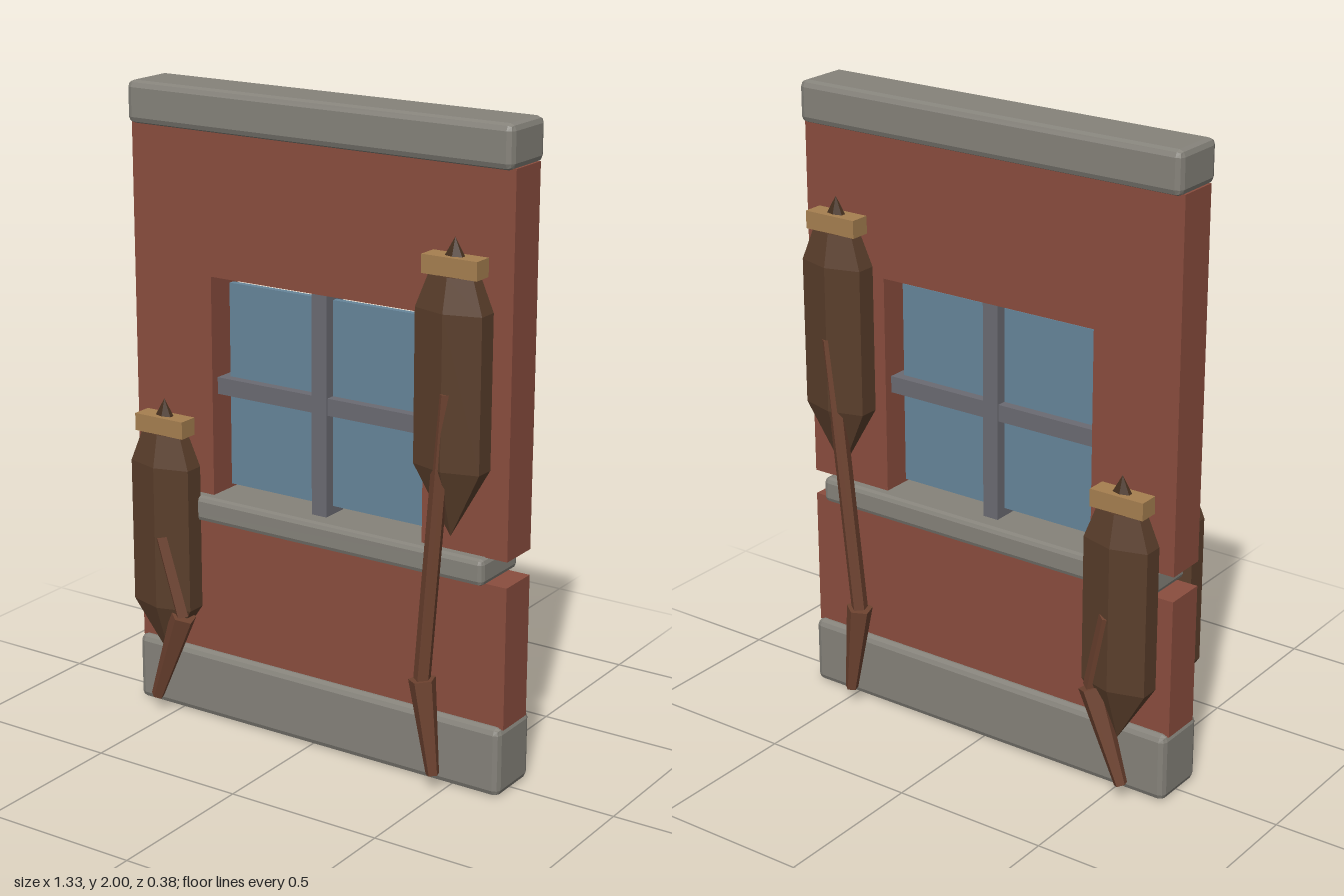
import * as THREE from 'three';
import { RoundedBoxGeometry } from 'three/addons/geometries/RoundedBoxGeometry.js';

const mat = (color) => new THREE.MeshStandardMaterial({ color, flatShading: true });
const brick = mat(0x8a4d3e), stone = mat(0x85827a), frame = mat(0x6b6b72), glass = mat(0x66859a);
const bark = mat(0x5a3e2b), band = mat(0xa67f50), spike = mat(0x46301f), limbMat = mat(0x6e4330);

function add(parent, name, geometry, material, x = 0, y = 0, z = 0) {
  const mesh = new THREE.Mesh(geometry, material);
  mesh.name = name;
  mesh.position.set(x, y, z);
  parent.add(mesh);
  return mesh;
}

// Box with chamfered edges, given its bottom and top
function chamferBox(parent, name, width, bottom, top, depth, chamfer) {
  const geometry = new RoundedBoxGeometry(width, top - bottom, depth, 1, chamfer);
  add(parent, name, geometry, stone, 0, (bottom + top) / 2);
}

// Tapered five-sided limb piece between two points
function limb(parent, name, from, to, r0, r1) {
  const a = new THREE.Vector3(...from), b = new THREE.Vector3(...to);
  const dir = b.clone().sub(a);
  const mesh = add(parent, name, new THREE.CylinderGeometry(r0, r1, dir.length(), 5), limbMat);
  mesh.position.copy(a).add(b).multiplyScalar(0.5);
  mesh.quaternion.setFromUnitVectors(new THREE.Vector3(0, -1, 0), dir.normalize());
  // keep the wide end at the start point
  mesh.geometry.rotateX(0);
}

// Hanging pod: faceted body, collar, spike and a jointed trailing limb
function makePod({ x, top, tip, joints }) {
  const pod = new THREE.Group();
  pod.name = 'hangingPod';
  const z = 0.123;
  const profile = [[0, tip], [0.126, top - 0.56], [0.126, top - 0.1], [0.084, top], [0, top]]
    .map(([r, y]) => new THREE.Vector2(r, y));
  add(pod, 'podBody', new THREE.LatheGeometry(profile, 6).scale(1, 1, 0.5), bark, x, 0, z);
  add(pod, 'collar', new THREE.BoxGeometry(0.18, 0.055, 0.064), band, x, top + 0.027, z);
  add(pod, 'spike', new THREE.ConeGeometry(0.033, 0.055, 6).scale(1, 1, 0.5), spike, x, top + 0.081, z);
  limb(pod, 'upperLimb', joints[0], joints[1], 0.027, 0.027);
  limb(pod, 'lowerLimb', joints[1], joints[2], 0.043, 0.021);
  return pod;
}

export function createModel() {
  const model = new THREE.Group();
  model.name = 'windowWall';

  // Stone base, coping and sill
  chamferBox(model, 'base', 1.33, 0, 0.217, 0.186, 0.02);
  chamferBox(model, 'coping', 1.33, 1.87, 2, 0.186, 0.02);
  chamferBox(model, 'windowSill', 1.21, 0.655, 0.737, 0.21, 0.016);

  // Brick wall: lower course, and an upper part surrounding the opening
  add(model, 'lowerWall', new THREE.BoxGeometry(1.33, 0.445, 0.134), brick, 0, 0.4325);
  const outline = new THREE.Shape([
    [-0.665, 0.735], [-0.377, 0.735], [-0.377, 1.43], [0.377, 1.43],
    [0.377, 0.735], [0.665, 0.735], [0.665, 1.875], [-0.665, 1.875],
  ].map(([x, y]) => new THREE.Vector2(x, y)));
  const upper = new THREE.ExtrudeGeometry(outline, { depth: 0.134, bevelEnabled: false });
  add(model, 'upperWall', upper, brick, 0, 0, -0.067);

  // Window pane and crossing bars
  add(model, 'windowPane', new THREE.BoxGeometry(0.7, 0.64, 0.02), glass, 0, 1.084);
  add(model, 'uprightBar', new THREE.BoxGeometry(0.053, 0.695, 0.09), frame, 0, 1.0825);
  add(model, 'crossBar', new THREE.BoxGeometry(0.754, 0.053, 0.08), frame, 0, 1.083);

  // Pods on both faces, the back ones mirrored
  const pods = [
    { x: 0.508, top: 1.57, tip: 0.8,
      joints: [[0.513, 1.24, 0.165], [0.435, 0.348, 0.148], [0.475, 0.052, 0.148]] },
    { x: -0.52, top: 0.93, tip: 0.19,
      joints: [[-0.505, 0.605, 0.165], [-0.443, 0.348, 0.148], [-0.552, 0.052, 0.148]] },
  ];
  for (const side of [1, -1]) {
    for (const spec of pods) {
      const pod = makePod(spec);
      pod.scale.z = side;
      model.add(pod);
    }
  }
  return model;
}
